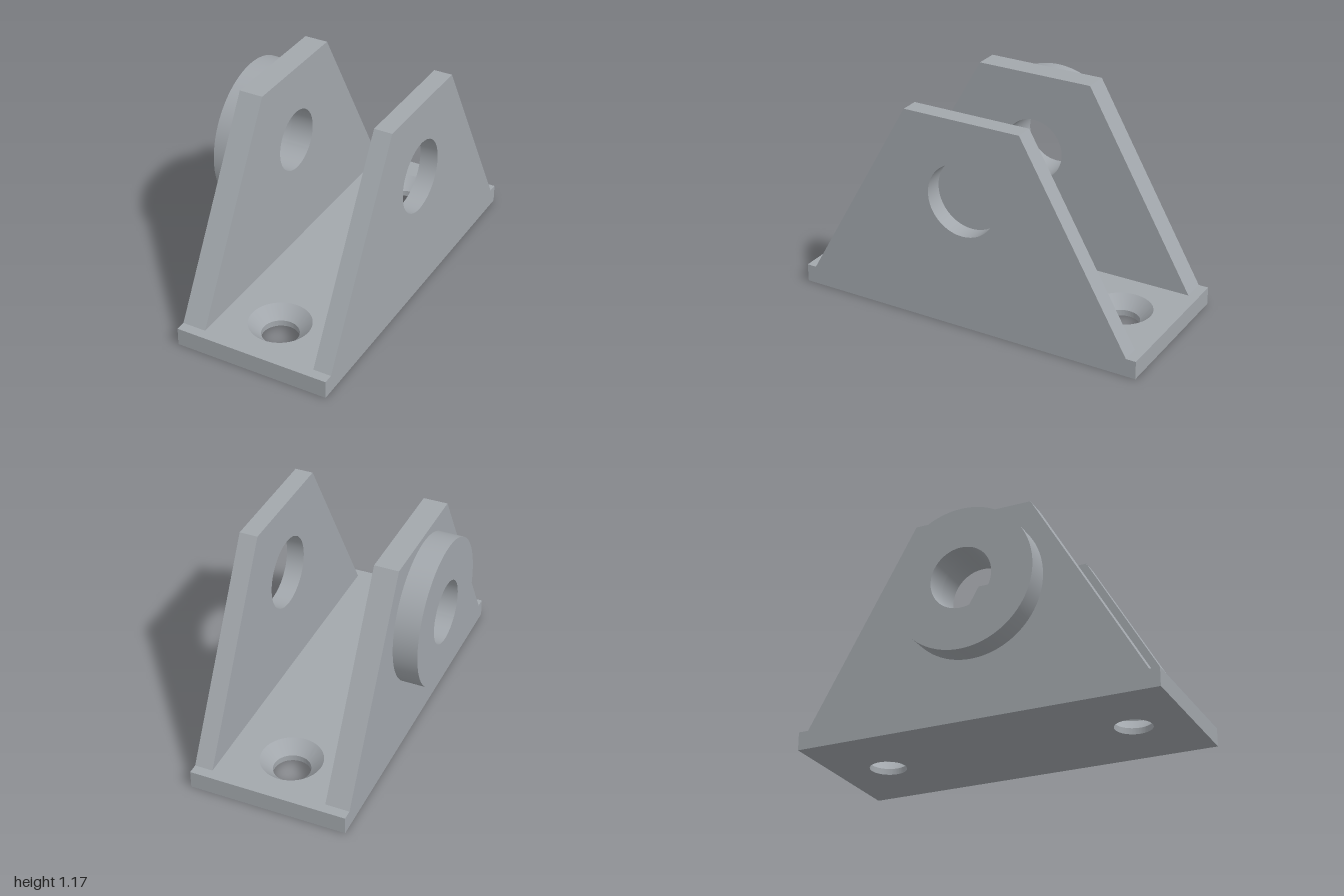
import * as THREE from 'three';
import { toCreasedNormals } from 'three/addons/utils/BufferGeometryUtils.js';

const AXLE_Y = 0.733;

export function createModel() {
  const group = new THREE.Group();
  const steel = new THREE.MeshStandardMaterial({ color: 0xa2a7ac });
  steel.name = 'steel grey';

  const addHole = (shape, x, y, r) => {
    const hole = new THREE.Path();
    hole.absarc(x, y, r, 0, Math.PI * 2, true);
    shape.holes.push(hole);
  };
  const add = (name, geometry) => {
    const mesh = new THREE.Mesh(toCreasedNormals(geometry, 0.5), steel);
    mesh.name = name;
    group.add(mesh);
  };
  const extrude = (shape, depth, steps = 1) =>
    new THREE.ExtrudeGeometry(shape, { depth, steps, curveSegments: 48, bevelEnabled: false });
  // Profile drawn in the z-y plane, thickened from x0 to x1
  const sideways = (shape, x0, x1) =>
    extrude(shape, x1 - x0).rotateY(Math.PI / 2).translate(x0, 0, 0);

  // Base plate: countersunk holes, narrowed below the top face
  const holeX = 0.065, holeZ = 0.7, rTop = 0.167, rBottom = 0.1;
  const base = new THREE.Shape([[-0.367, -1], [0.5, -1], [0.5, 1], [-0.367, 1]]
    .map(([x, y]) => new THREE.Vector2(x, y)));
  for (const s of [-1, 1]) addHole(base, holeX, s * holeZ, rTop);
  const baseGeometry = extrude(base, 0.1, 3);
  const p = baseGeometry.attributes.position;
  for (let i = 0; i < p.count; i++) {
    const cy = Math.sign(p.getY(i)) * holeZ;
    const dx = p.getX(i) - holeX, dy = p.getY(i) - cy;
    if (Math.hypot(dx, dy) > rTop + 0.005) continue;
    const t = Math.max(0, (p.getZ(i) - 0.0333) / 0.0667);
    const k = THREE.MathUtils.lerp(rBottom, rTop, t) / rTop;
    p.setXY(i, holeX + dx * k, cy + dy * k);
  }
  add('basePlate', baseGeometry.rotateX(-Math.PI / 2));

  // Tapered upright cheeks with axle holes
  const cheek = (radius) => {
    const shape = new THREE.Shape([[-0.945, 0.1], [0.945, 0.1], [0.333, 1.167], [-0.333, 1.167]]
      .map(([x, y]) => new THREE.Vector2(x, y)));
    addHole(shape, 0, AXLE_Y, radius);
    return shape;
  };
  add('leftCheek', sideways(cheek(0.2), 0.4, 0.5));
  add('rightCheek', sideways(cheek(0.172), -0.367, -0.235));

  // Round boss on the outside of the right cheek
  const boss = new THREE.Shape();
  boss.absarc(0, AXLE_Y, 0.4, 0, Math.PI * 2, false);
  addHole(boss, 0, AXLE_Y, 0.172);
  add('boss', sideways(boss, -0.5, -0.367));

  return group;
}
